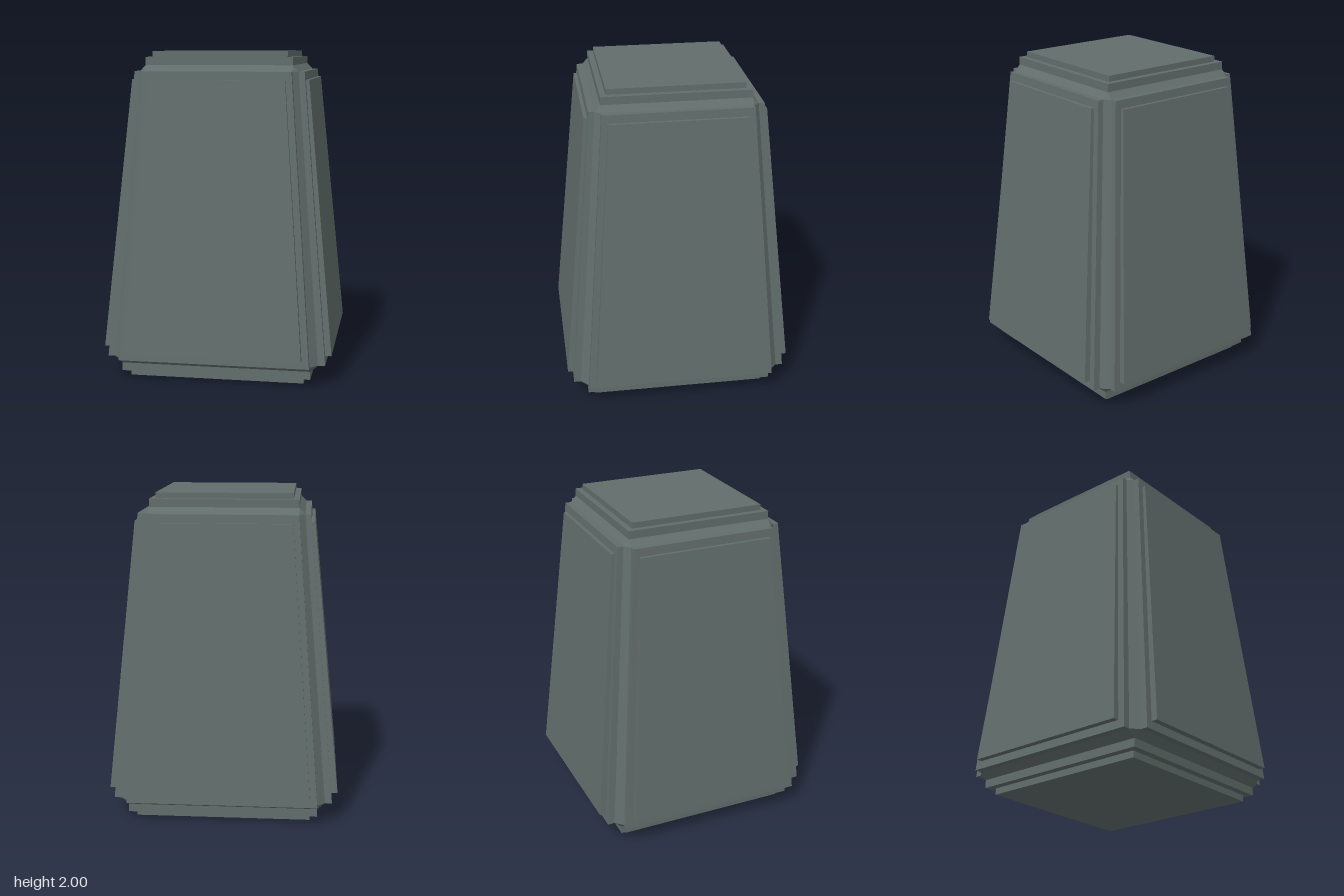
import * as THREE from 'three';
import { ConvexGeometry } from 'three/addons/geometries/ConvexGeometry.js';

const slate = new THREE.MeshStandardMaterial({ color: 0x626e6c });
slate.name = 'slate grey';

const V = (x, y, z) => new THREE.Vector3(x, y, z);

function solid(name, points) {
  const mesh = new THREE.Mesh(new ConvexGeometry(points), slate);
  mesh.name = name;
  return mesh;
}

// Sloping trapezoid plate for the front side.
// Each end is [y, half width, inner z, outer z].
function sidePlate(name, bottom, top) {
  const points = [];
  for (const [y, w, zIn, zOut] of [bottom, top]) {
    for (const s of [-1, 1]) points.push(V(s * w, y, zIn), V(s * w, y, zOut));
  }
  return solid(name, points);
}

// Square slab on the top or underside.
function slab(name, half, y0, y1) {
  const mesh = new THREE.Mesh(new THREE.BoxGeometry(half * 2, y1 - y0, half * 2), slate);
  mesh.position.y = (y0 + y1) / 2;
  mesh.name = name;
  return mesh;
}

export function createModel() {
  const group = new THREE.Group();
  group.name = 'taperedBlock';

  // Tapered core with every edge chamfered: [end y, shoulder y, half width, shoulder half width]
  const core = [];
  for (const [yEnd, ySide, w, wide] of [[0.09, 0.13, 0.583, 0.629], [1.917, 1.88, 0.447, 0.481]]) {
    for (const sx of [-1, 1]) for (const sz of [-1, 1]) {
      core.push(
        V(sx * w, yEnd, sz * w),
        V(sx * wide, ySide, sz * w),
        V(sx * w, ySide, sz * wide),
      );
    }
  }
  group.add(solid('chamferedCore', core));

  // Two stepped panels on each of the four sides
  ['front', 'left', 'back', 'right'].forEach((side, i) => {
    const panels = new THREE.Group();
    panels.name = side + 'Panels';
    panels.add(
      sidePlate('lowerPanel', [0.13, 0.583, 0.61, 0.672], [1.88, 0.447, 0.46, 0.517]),
      sidePlate('raisedPanel', [0.18, 0.538, 0.64, 0.706], [1.83, 0.412, 0.49, 0.542]),
    );
    panels.rotation.y = i * Math.PI / 2;
    group.add(panels);
  });

  // Stepped slabs above and below
  group.add(
    slab('topStep', 0.447, 1.9, 1.965),
    slab('topPanel', 0.412, 1.95, 2),
    slab('bottomStep', 0.583, 0.04, 0.1),
    slab('bottomPanel', 0.538, 0, 0.06),
  );
  return group;
}
